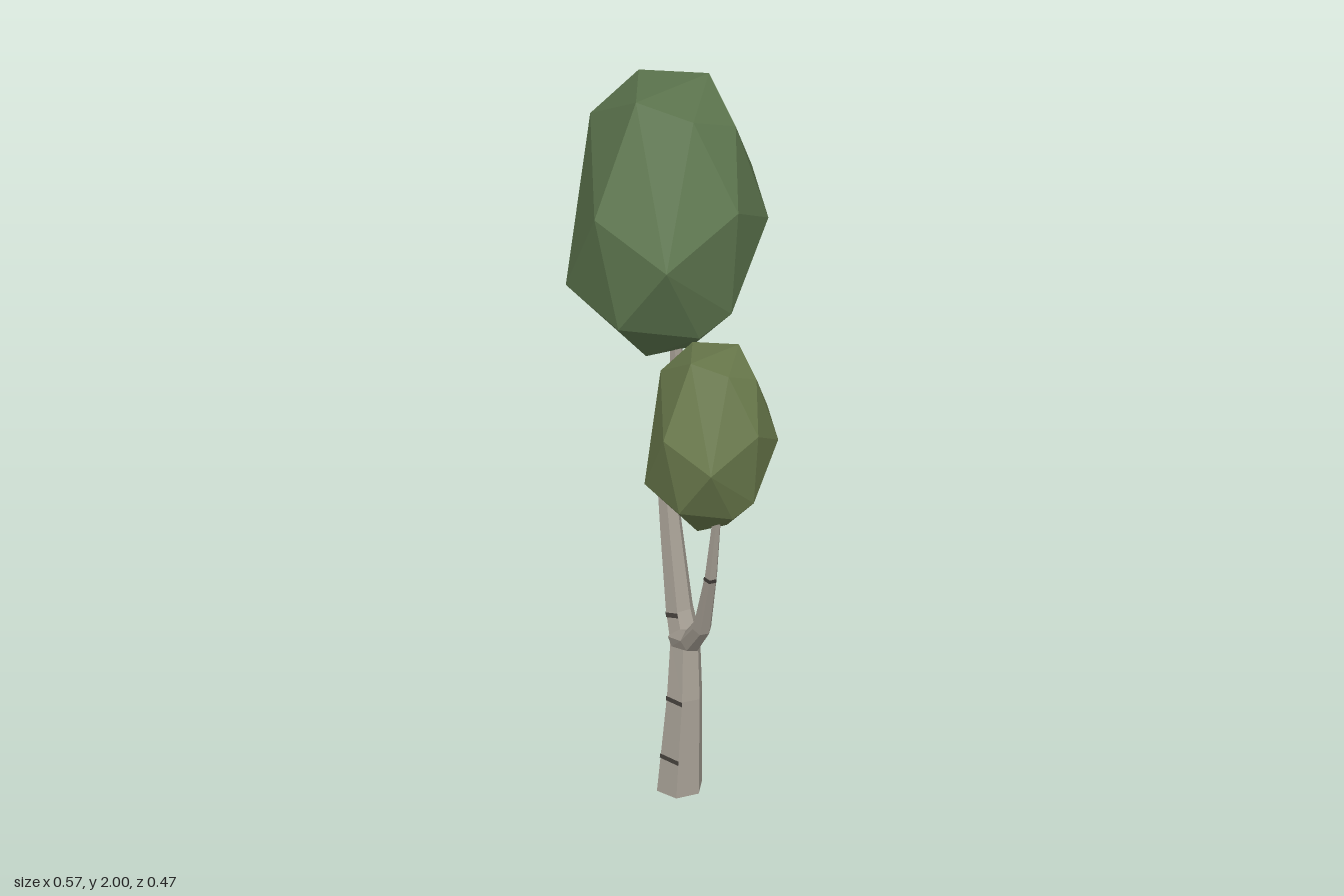
import * as THREE from 'three';
import { ConvexGeometry } from 'three/addons/geometries/ConvexGeometry.js';

const SIDES = 6;
const mat = (color) => new THREE.MeshStandardMaterial({ color, flatShading: true, roughness: 0.9, side: THREE.DoubleSide });

// Six-sided ring around a path point, square to its direction
function ring(p, tangent, r) {
  const u = new THREE.Vector3().crossVectors(tangent, new THREE.Vector3(0, 0, 1)).normalize();
  const v = new THREE.Vector3().crossVectors(u, tangent).normalize();
  return Array.from({ length: SIDES }, (_, j) => {
    const a = (j / SIDES) * Math.PI * 2;
    return p.clone().addScaledVector(u, r * Math.cos(a)).addScaledVector(v, r * Math.sin(a));
  });
}

// Tapered limb through rows of [x, y, z, radius]; 'faces' limits it to some sides
function limb(rows, { faces = [0, 1, 2, 3, 4, 5], upright = false, caps = true } = {}) {
  const pts = rows.map(([x, y, z]) => new THREE.Vector3(x, y, z));
  const rings = pts.map((p, i) => {
    const t = pts[Math.min(i + 1, pts.length - 1)].clone().sub(pts[Math.max(i - 1, 0)]).normalize();
    if (upright && i === 0) t.set(0, 1, 0);
    return ring(p, t, rows[i][3]);
  });
  const pos = [];
  const tri = (...vs) => vs.forEach((v) => pos.push(v.x, v.y, v.z));
  for (let i = 0; i < rings.length - 1; i++) {
    for (const j of faces) {
      const k = (j + 1) % SIDES;
      const [a, b, c, d] = [rings[i][j], rings[i][k], rings[i + 1][k], rings[i + 1][j]];
      tri(a, d, c);
      tri(a, c, b);
    }
  }
  if (caps) {
    const end = rings.length - 1;
    for (let j = 0; j < SIDES; j++) {
      const k = (j + 1) % SIDES;
      tri(pts[0], rings[0][j], rings[0][k]);
      tri(pts[end], rings[end][k], rings[end][j]);
    }
  }
  const g = new THREE.BufferGeometry();
  g.setAttribute('position', new THREE.Float32BufferAttribute(pos, 3));
  g.computeVertexNormals();
  return g;
}

// Limb row at a given height
function rowAt(rows, y) {
  const i = Math.max(1, rows.findIndex((r) => r[1] >= y));
  const [a, b] = [rows[i - 1], rows[i]];
  const t = (y - a[1]) / (b[1] - a[1]);
  return a.map((v, n) => v + (b[n] - v) * t);
}

// Thin dark bark mark lying on the limb's surface
function barkMark(rows, y, faces) {
  const lo = rowAt(rows, y - 0.006);
  const hi = rowAt(rows, y + 0.006);
  lo[3] += 0.002;
  hi[3] += 0.002;
  return limb([lo, hi], { faces, caps: false });
}

const TRUNK = [
  [-0.038, 0, -0.015, 0.059], [-0.024, 0.27, -0.017, 0.046], [-0.028, 0.42, -0.025, 0.039],
  [-0.05, 0.5, -0.03, 0.035], [-0.078, 0.7, -0.036, 0.029], [-0.094, 0.82, -0.04, 0.025],
  [-0.088, 0.92, -0.042, 0.024], [-0.052, 0.99, -0.035, 0.021], [-0.055, 1.3, -0.02, 0.015],
];
const BRANCH = [
  [-0.04, 0.425, -0.01, 0.026], [0.025, 0.455, 0.02, 0.028], [0.08, 0.53, 0.05, 0.024],
  [0.138, 0.72, 0.09, 0.016], [0.167, 0.9, 0.105, 0.011],
];

// Corners of the faceted crown, from the top down
const CROWN = [
  [-0.075, 2.0, 0.11], [0.058, 1.965, 0.055], [0.095, 1.91, -0.065], [-0.055, 1.96, -0.155], [-0.2, 1.96, -0.065],
  [-0.26, 1.87, 0.05], [0.168, 1.73, 0.02], [-0.11, 1.71, 0.23], [-0.12, 1.66, -0.235], [-0.285, 1.64, -0.115],
  [0.03, 1.7, -0.215], [0.13, 1.62, -0.15], [0.083, 1.61, 0.195], [-0.258, 1.43, 0.15],
  [0.132, 1.42, 0.0], [-0.06, 1.4, 0.2], [0.025, 1.39, -0.19], [-0.17, 1.4, -0.17],
  [0.08, 1.36, 0.06], [-0.22, 1.36, -0.05], [-0.09, 1.24, 0.05], [-0.03, 1.24, -0.05],
];

export function createModel() {
  const tree = new THREE.Group();
  tree.name = 'tree';
  const add = (name, geometry, material) => {
    const m = new THREE.Mesh(geometry, material);
    m.name = name;
    tree.add(m);
    return m;
  };

  // Trunk and side branch
  const bark = mat(0xa8a196);
  add('trunk', limb(TRUNK, { upright: true }), bark);
  add('sideBranch', limb(BRANCH), bark);

  // Bark marks
  const dark = mat(0x45413c);
  [[0.1, [1]], [0.265, [1]], [0.49, [1, 2]], [0.82, [1, 2]]].forEach(([y, f]) => add('trunkMark', barkMark(TRUNK, y, f), dark));
  add('branchMark', barkMark(BRANCH, 0.715, [0, 1]), dark);

  // Crowns: the lower one is a smaller copy of the upper
  const crown = new ConvexGeometry(CROWN.map((c) => new THREE.Vector3(...c)));
  add('upperCrown', crown, mat(0x5f7850));
  const lower = add('lowerCrown', crown, mat(0x6a7a4c));
  lower.scale.setScalar(0.66);
  lower.position.set(0.173, 0.03, 0.079);
  return tree;
}
